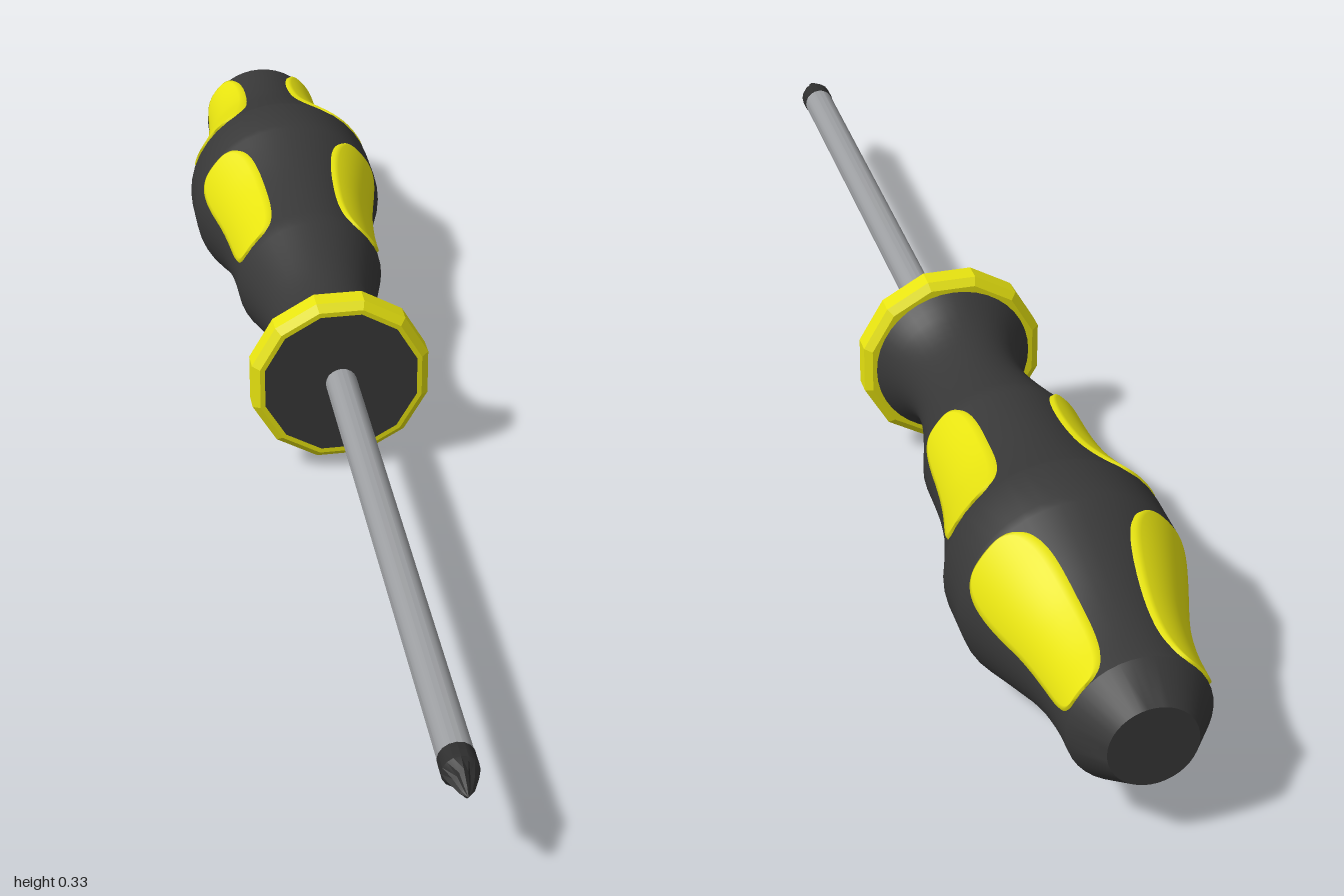
import * as THREE from 'three';
import { toCreasedNormals } from 'three/addons/utils/BufferGeometryUtils.js';

const AXIS_Y = 0.168;
const mat = (name, color) => new THREE.MeshStandardMaterial({ name, color });

// Handle outline as [z, radius], rear to front; each section is a smooth curve, corners lie between sections
const SECTIONS = [
  [[-0.945, 0.1], [-0.88, 0.102], [-0.81, 0.114], [-0.73, 0.14], [-0.665, 0.163]],
  [[-0.665, 0.163], [-0.585, 0.163]],
  [[-0.585, 0.163], [-0.53, 0.146], [-0.47, 0.132], [-0.4, 0.124], [-0.32, 0.122]],
  [[-0.32, 0.122], [-0.25, 0.103], [-0.18, 0.089], [-0.12, 0.088], [-0.07, 0.102], [-0.034, 0.127]],
];
const outline = [];
for (const s of SECTIONS) {
  const curve = new THREE.SplineCurve(s.map(([z, r]) => new THREE.Vector2(r, z)));
  const pts = curve.getPoints(s.length > 2 ? 16 : 1);
  outline.push(...(outline.length ? pts.slice(1) : pts));
}

function radiusAt(z) {
  for (let i = 1; i < outline.length; i++) {
    const a = outline[i - 1], b = outline[i];
    if (z <= b.y) return THREE.MathUtils.lerp(a.x, b.x, (z - a.y) / (b.y - a.y));
  }
  return outline[outline.length - 1].x;
}

// Lathe around the z axis
function turned(points, sides, phase = 0) {
  const pts = points.map((p) => (p.isVector2 ? p : new THREE.Vector2(p[1], p[0])));
  return new THREE.LatheGeometry(pts, sides, phase).rotateX(Math.PI / 2);
}

// Rounded patch that follows the handle surface, standing slightly proud with a sunk rim
function padGeometry(z0, z1, centre, half) {
  const g = new THREE.PlaneGeometry(2, 2, 16, 36);
  const p = g.attributes.position;
  for (let i = 0; i < p.count; i++) {
    const v = p.getX(i);
    const u = Math.sin(p.getY(i) * Math.PI / 2);
    const z = (z0 + z1) / 2 + u * (z1 - z0) / 2;
    const width = Math.pow(Math.max(0, 1 - Math.pow(Math.abs(u), 3.5)), 1 / 3.5);
    const a = THREE.MathUtils.degToRad(centre + half * v * width);
    const rim = Math.abs(v) > 0.99 || Math.abs(u) > 0.997;
    const r = radiusAt(z) + (rim ? -0.003 : 0.004);
    p.setXYZ(i, r * Math.cos(a), r * Math.sin(a), z);
  }
  g.computeVertexNormals();
  return g;
}

export function createModel() {
  const black = mat('black handle', 0x383838);
  const yellow = mat('yellow grip', 0xe8e410);
  const steel = mat('steel', 0x9c9ea1);
  const darkSteel = mat('dark tip', 0x2e2e2e);

  const model = new THREE.Group();
  model.name = 'screwdriver';
  const tool = new THREE.Group();
  tool.name = 'tool';
  tool.position.y = AXIS_Y;
  model.add(tool);
  const add = (name, geometry, material) => {
    const m = new THREE.Mesh(geometry, material);
    m.name = name;
    tool.add(m);
  };

  // Handle with chamfered butt and flat front face
  const body = [[-1, 0], [-1, 0.062], ...outline, [0.01, 0.127], [0.01, 0]];
  add('handle', toCreasedNormals(turned(body, 40), 0.4), black);

  // Faceted collar around the front of the handle
  const collar = [[-0.039, 0.12], [-0.039, 0.134], [-0.03, 0.146], [0, 0.146], [0.0105, 0.134], [0.0105, 0.126]];
  add('collar', toCreasedNormals(turned(collar, 12, Math.PI / 12), 0.2), yellow);

  // Three rows of soft grip pads, one pair per row
  for (const [name, angle] of [['left', 36], ['right', 143], ['bottom', 268]]) {
    add(name + 'FrontPad', padGeometry(-0.575, -0.318, angle, 28), yellow);
    add(name + 'RearPad', padGeometry(-0.945, -0.675, angle, 33), yellow);
  }

  // Shaft
  add('shaft', toCreasedNormals(turned([[0, 0.025], [0.925, 0.025], [0.925, 0]], 20), 0.6), steel);

  // Cross tip: tapered lathe with four flutes pressed in towards the point
  const tip = turned([[0.922, 0], [0.922, 0.026], [0.95, 0.026], [0.968, 0.02], [0.99, 0.01], [1, 0]], 16);
  const p = tip.attributes.position;
  for (let i = 0; i < p.count; i++) {
    const x = p.getX(i), y = p.getY(i), z = p.getZ(i);
    const flute = (1 - Math.cos(4 * Math.atan2(y, x))) / 2;
    const k = z > 0.955 ? 1 - 0.4 * flute : 1;
    p.setXY(i, x * k, y * k);
  }
  add('crossTip', toCreasedNormals(tip, 0.4), darkSteel);

  return model;
}
